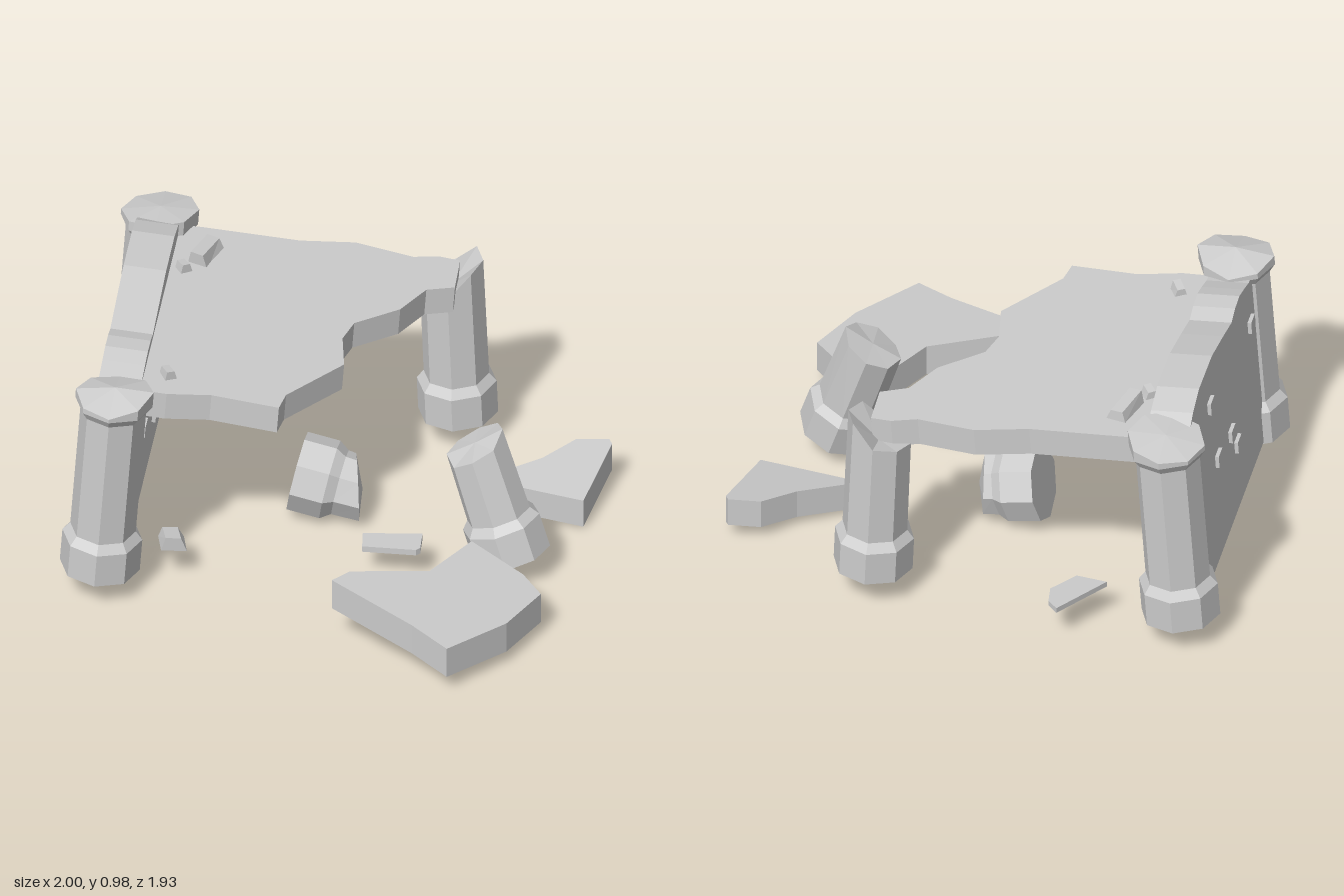
import * as THREE from 'three';

const stone = new THREE.MeshStandardMaterial({ color: 0xcccccc, flatShading: true });
const LEAN = -0.072;

function add(parent, name, geometry) {
  const mesh = new THREE.Mesh(geometry, stone);
  mesh.name = name;
  parent.add(mesh);
  return mesh;
}

// Eight-sided turned stone; vertices above `cut` are lifted by the rule `jag`
function octagon(profile, cut, jag) {
  const g = new THREE.LatheGeometry(profile.map(([r, y]) => new THREE.Vector2(r, y)), 8);
  const p = g.attributes.position;
  for (let i = 0; i < p.count; i++) {
    if (p.getY(i) > cut) p.setY(i, p.getY(i) + jag(p.getX(i), p.getZ(i)));
  }
  g.computeVertexNormals();
  return g;
}

const base = [[0, 0], [0.155, 0], [0.155, 0.14], [0.127, 0.175]];

// Broken flat slab from a plan outline (x, z); top height follows a tilted plane
function slab(outline, thickness, top) {
  const shape = new THREE.Shape(outline.map(([x, z]) => new THREE.Vector2(x, -z)));
  const g = new THREE.ExtrudeGeometry(shape, { depth: thickness, bevelEnabled: false });
  g.rotateX(-Math.PI / 2);
  const p = g.attributes.position;
  for (let i = 0; i < p.count; i++) {
    p.setY(i, p.getY(i) - thickness + top(p.getX(i), p.getZ(i)));
  }
  g.computeVertexNormals();
  return g;
}

// Small chipped block with one sheared, narrowed top
function chunk(parent, name, [w, h, d], pos, rot) {
  const g = new THREE.BoxGeometry(w, h, d);
  const p = g.attributes.position;
  for (let i = 0; i < p.count; i++) {
    if (p.getY(i) > 0) {
      p.setX(i, p.getX(i) * 0.6 - w * 0.08);
      p.setY(i, p.getY(i) + p.getZ(i) * 0.15);
    }
  }
  g.computeVertexNormals();
  const m = add(parent, name, g);
  m.position.set(...pos);
  m.rotation.set(...rot);
  return m;
}

const up = new THREE.Vector3(0, 1, 0);
function aim(mesh, pos, dir) {
  mesh.position.set(...pos);
  mesh.quaternion.setFromUnitVectors(up, new THREE.Vector3(...dir).normalize());
}

export function createModel() {
  const model = new THREE.Group();
  model.name = 'ruinedShelter';

  // Leaning part: wall, two columns and roof
  const leaning = new THREE.Group();
  leaning.name = 'leaningStructure';
  leaning.position.set(-0.845, 0.11, 0);
  leaning.rotation.z = LEAN;
  model.add(leaning);

  // Complete columns with broken capitals
  const fullColumn = [...base, [0.127, 0.725], [0.15, 0.76], [0.15, 0.8], [0, 0.815]];
  const breaks = [
    ['frontColumn', 0.445, (x, z) => 0.012 - 1.6 * z * z + 0.1 * x],
    ['backColumn', -0.815, (x, z) => 0.005 + 0.15 * x + 0.12 * z],
  ];
  for (const [name, z, jag] of breaks) {
    add(leaning, name, octagon(fullColumn, 0.78, jag)).position.z = z;
  }

  // Side wall with a worn crest, drawn as (z, y)
  const crest = [
    [-0.78, 0.01], [0.38, 0.01], [0.38, 0.755], [0.3, 0.765], [0.22, 0.79], [0.15, 0.808],
    [0.07, 0.805], [0, 0.787], [-0.14, 0.82], [-0.33, 0.86], [-0.56, 0.865], [-0.68, 0.835], [-0.78, 0.785],
  ];
  const wall = new THREE.ExtrudeGeometry(
    new THREE.Shape(crest.map(([z, y]) => new THREE.Vector2(z, y))),
    { depth: 0.165, bevelEnabled: false },
  );
  wall.rotateY(-Math.PI / 2);
  wall.translate(0.087, 0, 0);
  add(leaning, 'sideWall', wall);

  // Bricks standing proud of both wall faces: x, y, z
  const bricks = [
    [-0.078, 0.7, -0.43], [-0.078, 0.42, -0.38], [-0.078, 0.38, -0.155], [-0.078, 0.28, -0.08], [-0.078, 0.6, 0.265],
    [0.087, 0.52, -0.4], [0.087, 0.44, -0.47], [0.087, 0.22, -0.3], [0.087, 0.29, 0.22], [0.087, 0.42, 0.1],
  ];
  for (const [x, y, z] of bricks) {
    add(leaning, 'wallBrick', new THREE.BoxGeometry(0.03, 0.05, 0.065)).position.set(x, y, z);
  }

  // Broken roof
  const roof = [
    [0.02, -0.77], [0.16, -0.78], [0.55, -0.775], [0.76, -0.81], [0.99, -0.765], [1.09, -0.79], [1.17, -0.78],
    [1.175, -0.6], [1.07, -0.56], [0.99, -0.41], [0.83, -0.28], [0.8, -0.17], [0.83, 0], [0.64, 0.25],
    [0.625, 0.34], [0.36, 0.315], [0.19, 0.345], [0.02, 0.34],
  ];
  add(leaning, 'roof', slab(roof, 0.115, (x, z) => 0.762 + 0.01 * x - 0.012 * z));

  // Rubble lying on the roof
  chunk(leaning, 'roofRubble', [0.085, 0.055, 0.15], [0.21, 0.79, -0.6], [0.1, -0.3, 0]);
  chunk(leaning, 'roofRubble', [0.05, 0.035, 0.05], [0.14, 0.785, -0.49], [0, 0.6, 0]);
  chunk(leaning, 'roofRubble', [0.05, 0.035, 0.06], [0.18, 0.775, 0.22], [0, 0.5, 0]);

  // Right rear column, snapped under the roof edge
  const rear = add(model, 'rearBrokenColumn', octagon(
    [...base, [0.125, 0.62], [0, 0.6]], 0.55,
    (x, z) => (x > 0.05 ? 0.06 : -0.02) + 0.12 * x - 0.1 * z,
  ));
  rear.position.set(0.372, 0.125, -0.77);
  rear.rotation.z = 0.04;

  // Tilted column stump
  const stump = add(model, 'fallenColumn', octagon(
    [...base, [0.122, 0.48], [0, 0.475]], 0.4,
    (x, z) => 0.22 * x + (z > 0.05 ? -0.025 : 0.01),
  ));
  aim(stump, [0.705, 0.09, 0.125], [-0.31, 0.93, -0.13]);

  // Fallen column foot lying on its side
  const foot = add(model, 'fallenColumnFoot', octagon(
    [[0, 0], [0.155, 0], [0.155, 0.13], [0.128, 0.17], [0.125, 0.24], [0, 0.26]], 0.2,
    (x, z) => 0.25 * z + 0.2 * x,
  ));
  aim(foot, [-0.17, 0.18, -0.19], [0.97, -0.19, 0.05]);

  // Fallen roof pieces
  add(model, 'largeFallenSlab', slab([
    [0.57, 0.275], [0.79, 0.42], [0.872, 0.52], [0.77, 0.74], [0.57, 0.965], [0.42, 0.86],
    [0.085, 0.675], [0.145, 0.6], [0.44, 0.505],
  ], 0.13, (x, z) => 0.235 - 0.13 * (x - 0.57) - 0.05 * (z - 0.275)));
  add(model, 'smallFallenSlab', slab([
    [0.54, -0.3], [0.745, -0.43], [0.86, -0.55], [0.985, -0.565], [1, -0.54], [0.935, -0.21], [0.56, -0.28],
  ], 0.12, (x, z) => 0.13 - 0.15 * (z + 0.21)));
  add(model, 'thinShard', slab([
    [-0.39, -0.97], [-0.35, -0.93], [-0.34, -0.85], [-0.42, -0.74], [-0.54, -0.75],
  ], 0.022, (x) => 0.16 + 0.04 * (x + 0.4)));
  add(model, 'thinShard', slab([
    [0.13, 0.14], [0.36, 0.13], [0.365, 0.23], [0.35, 0.245], [0.14, 0.23],
  ], 0.025, (x) => 0.14 + 0.06 * (x - 0.13)));

  // Ground rubble beside the front column
  chunk(model, 'groundRubble', [0.1, 0.05, 0.1], [-0.58, 0.165, 0.31], [0, 0.25, -0.1]);

  return model;
}
